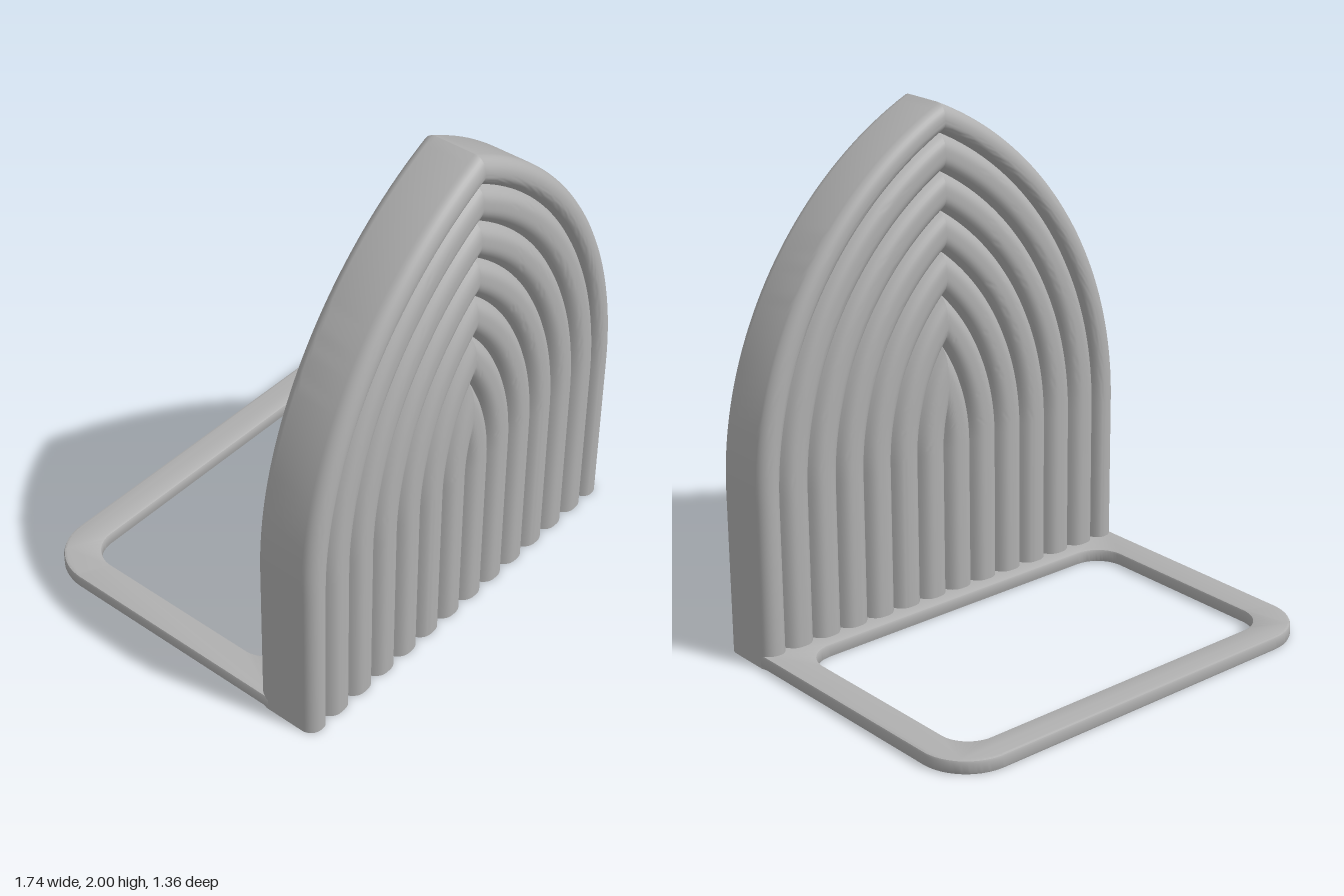
import * as THREE from 'three';
import { toCreasedNormals } from 'three/addons/utils/BufferGeometryUtils.js';

const HALF_W = 0.87, SPRING = 0.65, APEX = 2;
const RISE = APEX - SPRING;
// distance of each arc's centre beyond the middle line
const ARC_C = (RISE * RISE - HALF_W * HALF_W) / (2 * HALF_W);
const RIBS = 6, PITCH = 0.128, GROOVE = 0.04, EDGE = 0.05;
const MID_Z = 0.55, HALF_D = 0.13;

// Cross-section of the right half: [x, half depth] from the middle outwards
function ribProfile() {
  const pts = [];
  const steps = 14;
  for (let r = 0; r < RIBS; r++) {
    for (let i = 0; i < steps; i++) {
      const t = (i / steps) * 2 - 1;
      pts.push([(r + i / steps) * PITCH, HALF_D - GROOVE * Math.abs(t) ** 3]);
    }
  }
  // outer rib with rounded rim
  const start = RIBS * PITCH, crest = HALF_W - EDGE;
  for (let i = 0; i < 8; i++) {
    const t = 1 - i / 8;
    pts.push([start + (crest - start) * (i / 8), HALF_D - GROOVE * t ** 3]);
  }
  for (let i = 0; i <= 8; i++) {
    const a = (i / 8) * Math.PI / 2;
    pts.push([crest + EDGE * Math.sin(a), HALF_D - EDGE + EDGE * Math.cos(a)]);
  }
  return pts;
}

// Sweep the cross-section up the straight side and along the pointed arc
function archHalf(side) {
  const half = ribProfile(), n = half.length;
  const loop = [
    ...half.map(([x, d]) => [x, MID_Z + d]),
    ...half.map(([x, d]) => [x, MID_Z - d]).reverse(),
  ];
  const m = loop.length, arcRows = 40, pos = [], idx = [];
  for (let j = -1; j <= arcRows; j++) {
    for (const [x, z] of loop) {
      const r = ARC_C + x;
      const a = Math.max(j, 0) / arcRows * Math.acos(Math.min(1, ARC_C / r));
      const px = Math.max(0, r * Math.cos(a) - ARC_C);
      pos.push(side * px, j < 0 ? 0 : SPRING + r * Math.sin(a), z);
    }
  }
  const tri = (a, b, c) => (side > 0 ? idx.push(a, b, c) : idx.push(a, c, b));
  for (let j = 0; j <= arcRows; j++) {
    for (let i = 0; i < m - 1; i++) {
      const a = j * m + i, b = a + 1, c = b + m, d = a + m;
      tri(a, b, c);
      tri(a, c, d);
    }
  }
  // flat underside
  for (let i = 0; i < n - 1; i++) {
    const f0 = i, f1 = i + 1, b0 = m - 1 - i, b1 = m - 2 - i;
    tri(f0, b0, b1);
    tri(f0, b1, f1);
  }
  const geo = new THREE.BufferGeometry();
  geo.setAttribute('position', new THREE.Float32BufferAttribute(pos, 3));
  geo.setIndex(idx);
  return toCreasedNormals(geo, 0.6);
}

// Rectangle outline with separate radii for the back (+y) and front (-y) corners
function roundedRect(p, x, y0, y1, rBack, rFront) {
  p.moveTo(-x + rFront, y0);
  p.lineTo(x - rFront, y0);
  if (rFront) p.absarc(x - rFront, y0 + rFront, rFront, -Math.PI / 2, 0, false);
  p.lineTo(x, y1 - rBack);
  p.absarc(x - rBack, y1 - rBack, rBack, 0, Math.PI / 2, false);
  p.lineTo(-x + rBack, y1);
  p.absarc(-x + rBack, y1 - rBack, rBack, Math.PI / 2, Math.PI, false);
  p.lineTo(-x, y0 + rFront);
  if (rFront) p.absarc(-x + rFront, y0 + rFront, rFront, Math.PI, Math.PI * 1.5, false);
  return p;
}

// Thin open frame lying flat behind the arch
function baseFrame() {
  const bevel = 0.01, thick = 0.055;
  const shape = roundedRect(new THREE.Shape(), HALF_W, -0.47, 0.68, 0.2, 0);
  shape.holes.push(roundedRect(new THREE.Path(), 0.745, -0.37, 0.555, 0.12, 0.12));
  const geo = new THREE.ExtrudeGeometry(shape, {
    depth: thick - 2 * bevel, bevelEnabled: true, bevelThickness: bevel,
    bevelSize: bevel, bevelOffset: -bevel, bevelSegments: 2, curveSegments: 16,
  });
  geo.translate(0, 0, bevel);
  geo.rotateX(-Math.PI / 2);
  return toCreasedNormals(geo, 0.5);
}

export function createModel() {
  const group = new THREE.Group();
  group.name = 'archBookend';
  const grey = new THREE.MeshStandardMaterial({ color: 0xb0b0b0 });
  grey.name = 'grey';

  const add = (name, geo) => {
    const mesh = new THREE.Mesh(geo, grey);
    mesh.name = name;
    group.add(mesh);
  };
  add('leftArchHalf', archHalf(1));
  add('rightArchHalf', archHalf(-1));
  add('baseFrame', baseFrame());
  return group;
}
